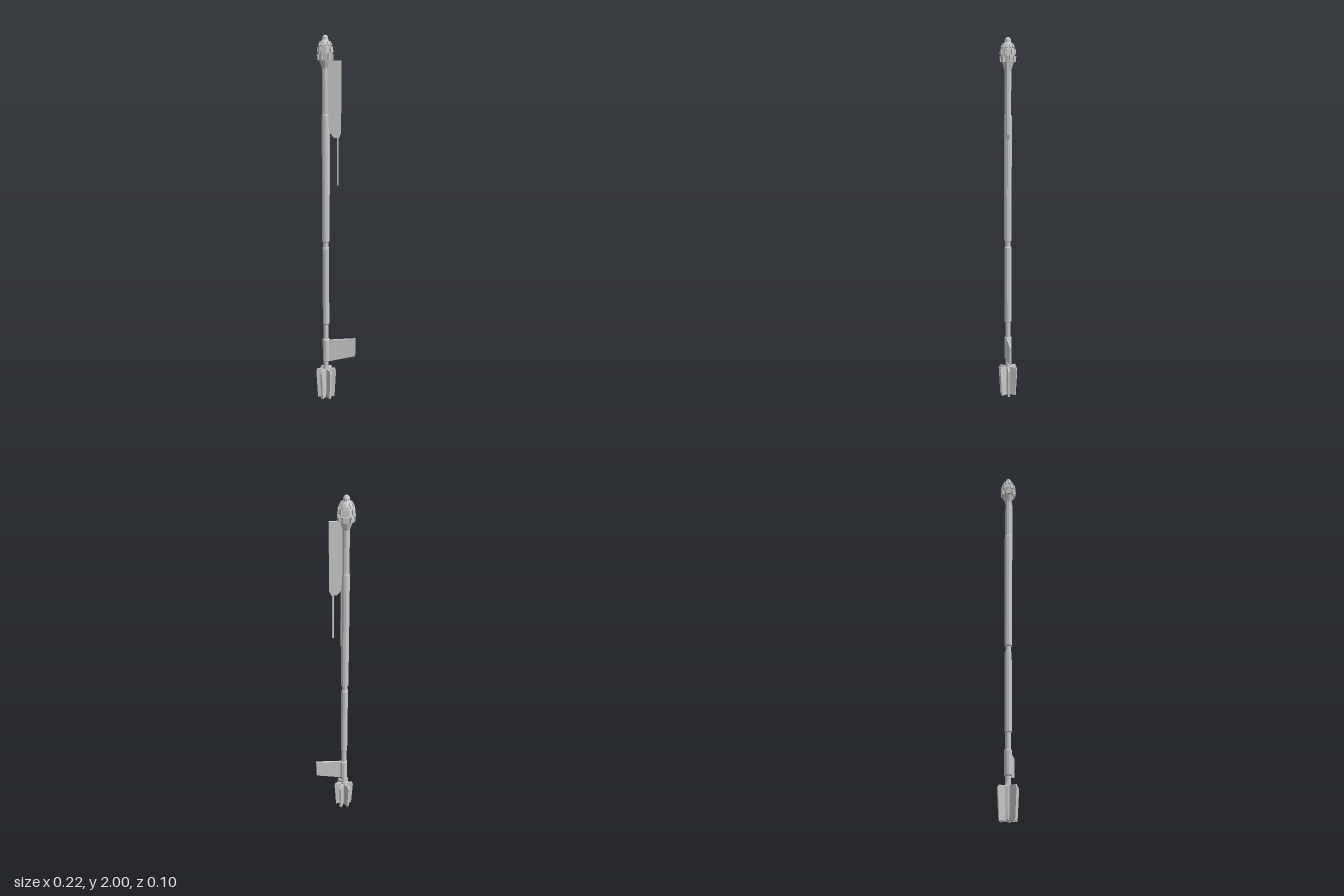
import * as THREE from 'three';

const mat = new THREE.MeshStandardMaterial({ color: 0xcccccc, flatShading: true });

function add(parent, name, geometry) {
  const mesh = new THREE.Mesh(geometry, mat);
  mesh.name = name;
  parent.add(mesh);
  return mesh;
}

// Flat plate from an outline in x and y, centred on z = 0
function plate(points, depth) {
  const shape = new THREE.Shape(points.map(([x, y]) => new THREE.Vector2(x, y)));
  return new THREE.ExtrudeGeometry(shape, { depth, bevelEnabled: false }).translate(0, 0, -depth / 2);
}

function lathe(points, sides) {
  return new THREE.LatheGeometry(points.map(([r, y]) => new THREE.Vector2(r, y)), sides);
}

export function createModel() {
  const model = new THREE.Group();
  model.name = 'rocketStaff';
  const body = new THREE.Group();
  body.name = 'body';
  body.position.set(-0.056, 0, -0.002);
  model.add(body);

  // Stepped shaft with grip sleeves
  add(body, 'shaft', lathe([
    [0, 0.02], [0.015, 0.02], [0.015, 0.215], [0.02, 0.22], [0.02, 0.345], [0.015, 0.35],
    [0.015, 0.435], [0.019, 0.44], [0.019, 0.875], [0.015, 0.88], [0.015, 0.908],
    [0.021, 0.912], [0.021, 1.59], [0.018, 1.6], [0.018, 1.84],
  ], 10));

  // Head core with rounded tip
  const head = new THREE.Group();
  head.name = 'head';
  body.add(head);
  add(head, 'headCore', lathe([
    [0.018, 1.83], [0.032, 1.872], [0.036, 1.9], [0.035, 1.935], [0.028, 1.962],
    [0.017, 1.975], [0.016, 1.988], [0.009, 1.998], [0, 2],
  ], 10));

  // Staggered rows of raised blocks around the head: radius, height, width, tall, lean
  const rows = [
    [0.036, 1.889, 0.017, 0.032, 0.08, 0],
    [0.035, 1.925, 0.016, 0.03, -0.12, 0.5],
    [0.027, 1.955, 0.011, 0.022, -0.5, 0],
  ];
  for (const [r, y, w, h, lean, shift] of rows) {
    for (let i = 0; i < 10; i++) {
      const block = add(head, 'headBlock', new THREE.BoxGeometry(w, h, 0.013));
      const a = (i + shift) * Math.PI / 5;
      block.rotation.set(lean, a, 0, 'YXZ');
      block.position.set(Math.sin(a) * r, y, Math.cos(a) * r);
    }
  }

  // Six tail fins
  const finShape = [[0.01, 0], [0.047, 0], [0.056, 0.155], [0.05, 0.17], [0.01, 0.17]];
  for (let i = 0; i < 6; i++) {
    add(body, 'tailFin', plate(finShape, 0.011)).rotation.y = i * Math.PI / 3;
  }

  // Lower side vane
  add(body, 'lowerVane', plate(
    [[0.01, 0.215], [0.164, 0.246], [0.166, 0.35], [0.01, 0.342]], 0.011,
  )).position.z = 0.004;

  // Upper blade, chamfered at its lower end
  add(body, 'upperBlade', plate(
    [[0.01, 1.58], [0.024, 1.5], [0.044, 1.475], [0.072, 1.475], [0.083, 1.5], [0.083, 1.87], [0.01, 1.87]], 0.013,
  )).position.z = 0.006;

  // Thin rod hanging below the blade
  add(body, 'rod', new THREE.CylinderGeometry(0.005, 0.005, 0.28, 6)).position.set(0.064, 1.36, 0.006);

  // Narrow rail along the shaft
  add(body, 'rail', new THREE.BoxGeometry(0.008, 0.42, 0.01)).position.set(0.02, 1.38, 0.004);

  return model;
}
